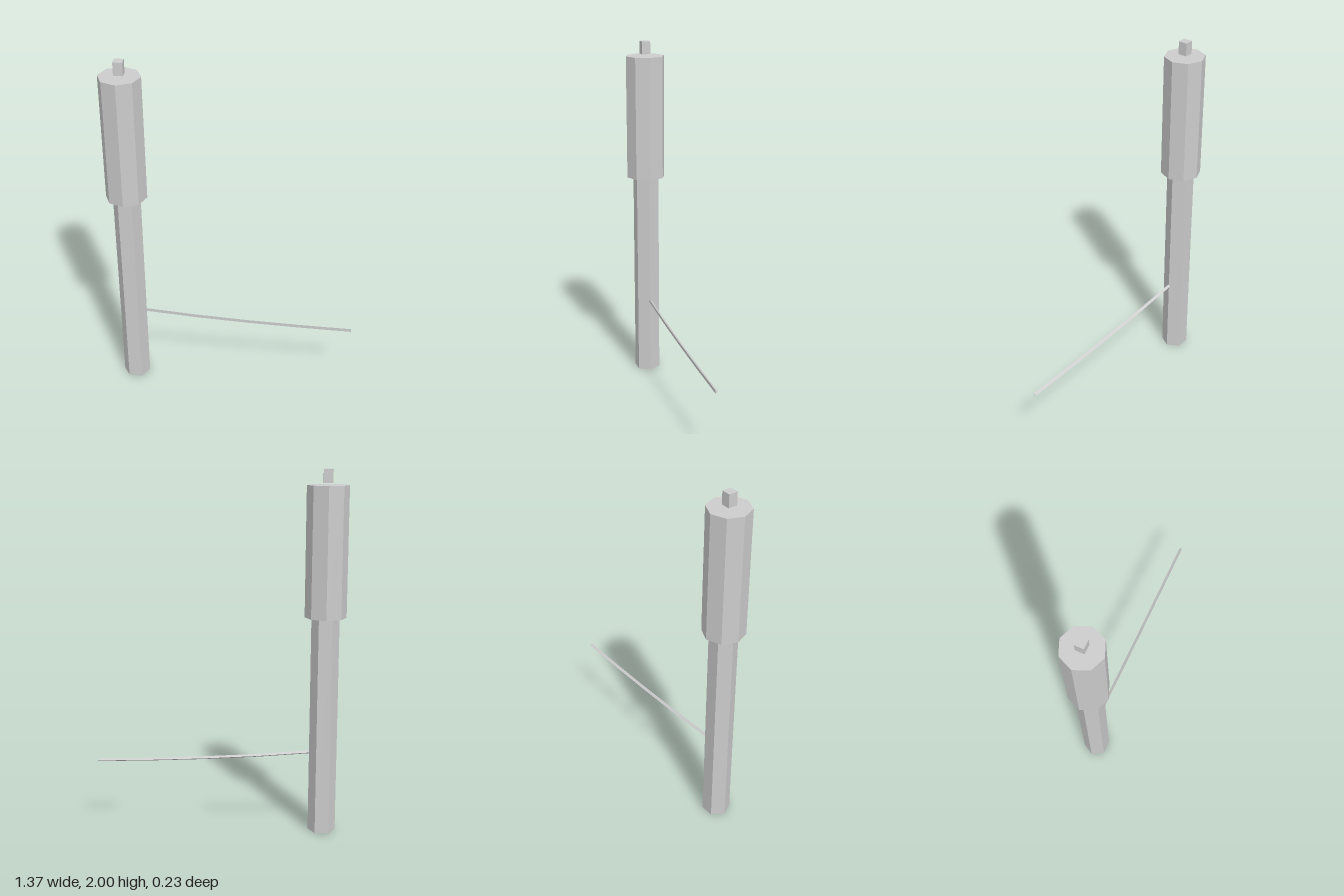
import * as THREE from 'three';

const AXIS_X = -0.575;

export function createModel() {
  const group = new THREE.Group();
  const material = new THREE.MeshStandardMaterial({ color: 0xcccccc, flatShading: true });

  const add = (name, geometry, mat = material) => {
    const mesh = new THREE.Mesh(geometry, mat);
    mesh.name = name;
    group.add(mesh);
    return mesh;
  };

  // Upright faceted prism with a corner pointing to +x
  const prism = (name, radius, sides, bottom, top) => {
    const geometry = new THREE.CylinderGeometry(radius, radius, top - bottom, sides, 1, false, Math.PI / 2);
    add(name, geometry).position.set(AXIS_X, (bottom + top) / 2, 0);
  };

  prism('handle', 0.076, 6, 0, 1.21);
  prism('barrel', 0.113, 8, 1.21, 1.917);

  // Small square tip, just clear of the barrel
  add('tip', new THREE.BoxGeometry(0.05, 0.072, 0.05)).position.set(AXIS_X, 1.964, 0);

  // Thin three-sided cord sagging away from the handle; turned over so its ridge faces back
  const sag = new THREE.QuadraticBezierCurve3(
    new THREE.Vector3(-0.5, -0.45, 0),
    new THREE.Vector3(0, -0.398, 0),
    new THREE.Vector3(0.684, -0.38, 0)
  );
  const cordMaterial = material.clone();
  cordMaterial.side = THREE.DoubleSide;
  add('cord', new THREE.TubeGeometry(sag, 4, 0.0095, 3), cordMaterial).rotation.x = Math.PI;

  return group;
}
